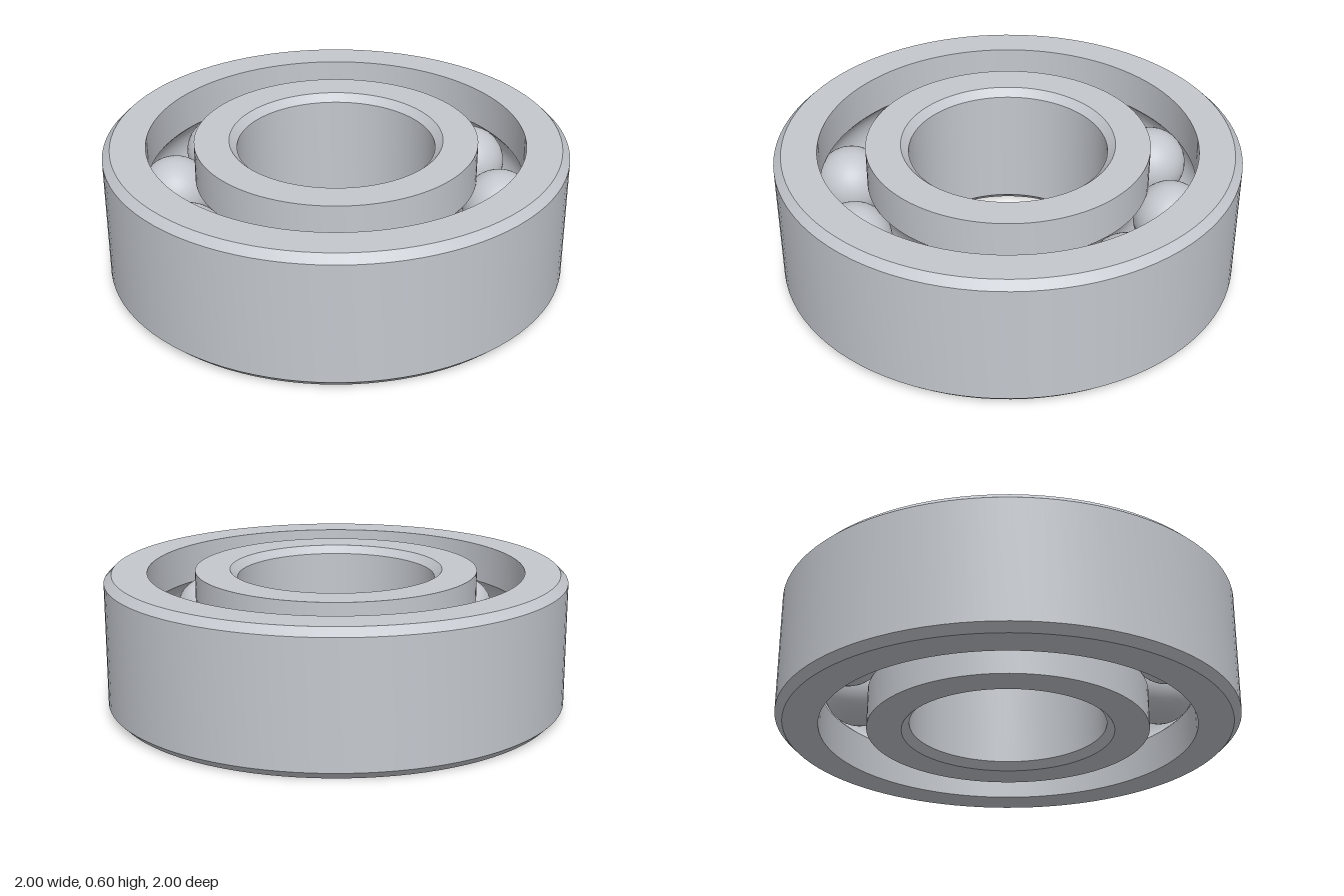
import * as THREE from 'three';
import { toCreasedNormals } from 'three/addons/utils/BufferGeometryUtils.js';

const HEIGHT = 0.6, MID = HEIGHT / 2, CHAMFER = 0.033;
const PITCH = 0.713, BALL = 0.16, GROOVE = 0.162, BALLS = 10;

// Arc of the ball groove, swept from angle a to angle b around the ball centre
function grooveArc(a, b, steps = 14) {
  return Array.from({ length: steps + 1 }, (_, i) => {
    const t = a + (b - a) * i / steps;
    return [PITCH + GROOVE * Math.cos(t), MID + GROOVE * Math.sin(t)];
  });
}

// Closed profile (counter-clockwise) spun around the y axis
function ring(name, profile, material) {
  const points = [...profile, profile[0]].map(([x, y]) => new THREE.Vector2(x, y));
  const geometry = toCreasedNormals(new THREE.LatheGeometry(points, 96), 0.4);
  const mesh = new THREE.Mesh(geometry, material);
  mesh.name = name;
  return mesh;
}

export function createModel() {
  const model = new THREE.Group();
  model.name = 'ballBearing';
  const steel = new THREE.MeshStandardMaterial({ color: 0xc4c8ce });
  steel.name = 'steel';

  // Outer race: chamfered outside, grooved inside
  const outerShoulder = 0.815;
  const ao = Math.acos((outerShoulder - PITCH) / GROOVE);
  model.add(ring('outerRace', [
    [outerShoulder, 0], [1 - CHAMFER, 0], [1, CHAMFER],
    [1, HEIGHT - CHAMFER], [1 - CHAMFER, HEIGHT], [outerShoulder, HEIGHT],
    ...grooveArc(ao, -ao),
  ], steel));

  // Inner race: grooved outside, chamfered bore
  const innerShoulder = 0.61, bore = 0.427;
  const ai = Math.acos((PITCH - innerShoulder) / GROOVE);
  model.add(ring('innerRace', [
    [bore + CHAMFER, 0], [innerShoulder, 0],
    ...grooveArc(Math.PI + ai, Math.PI - ai),
    [innerShoulder, HEIGHT], [bore + CHAMFER, HEIGHT],
    [bore, HEIGHT - CHAMFER], [bore, CHAMFER],
  ], steel));

  // Balls evenly spaced between the races
  const balls = new THREE.Group();
  balls.name = 'balls';
  const ballGeometry = new THREE.SphereGeometry(BALL, 32, 24);
  for (let i = 0; i < BALLS; i++) {
    const angle = i / BALLS * Math.PI * 2;
    const ball = new THREE.Mesh(ballGeometry, steel);
    ball.name = 'ball';
    ball.position.set(PITCH * Math.cos(angle), MID, PITCH * Math.sin(angle));
    balls.add(ball);
  }
  model.add(balls);
  return model;
}
